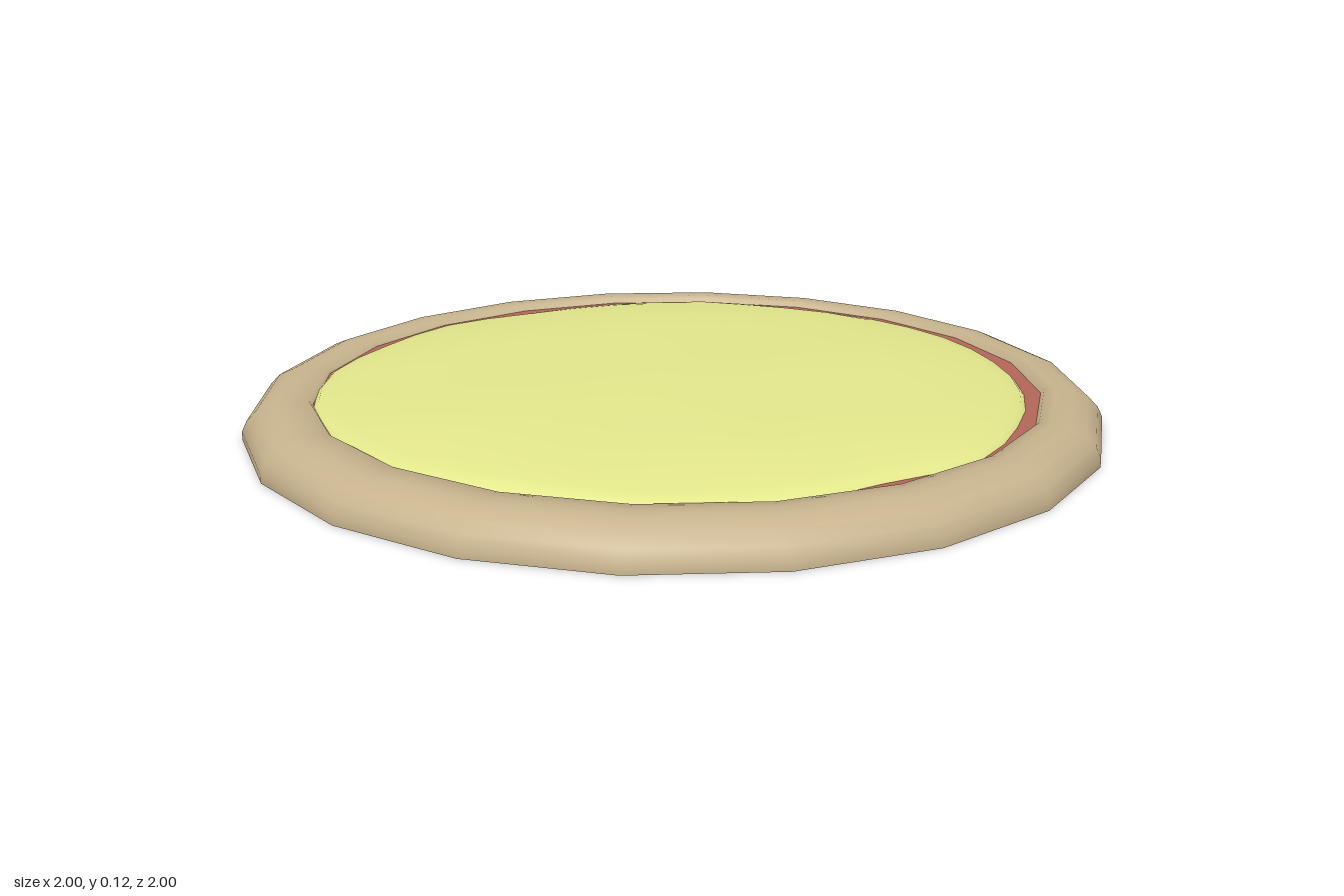
import * as THREE from 'three';
import { mergeVertices } from 'three/addons/utils/BufferGeometryUtils.js';

const SIDES = 20;
const INNER_SHIFT = -0.02; // the hollow sits slightly towards the back

// Cheese outline: radius every 18 degrees, from +x towards +z
const CHEESE_RADII = [
  0.82, 0.84, 0.81, 0.84, 0.84, 0.82, 0.84, 0.84, 0.84, 0.84,
  0.82, 0.83, 0.8, 0.82, 0.84, 0.82, 0.83, 0.83, 0.82, 0.82,
];

function lathe(profile, segments) {
  return new THREE.LatheGeometry(profile.map(([r, y]) => new THREE.Vector2(r, y)), segments);
}

// Move every vertex by a rule, then weld the seam and smooth
function reshape(geometry, rule) {
  const pos = geometry.attributes.position;
  const v = new THREE.Vector3();
  for (let i = 0; i < pos.count; i++) {
    rule(v.fromBufferAttribute(pos, i));
    pos.setXYZ(i, v.x, v.y, v.z);
  }
  geometry.deleteAttribute('uv');
  geometry.deleteAttribute('normal');
  const welded = mergeVertices(geometry, 1e-5);
  welded.computeVertexNormals();
  return welded;
}

function cheeseRadius(angle) {
  const t = ((angle / (Math.PI * 2) + 1) % 1) * SIDES;
  const i = Math.floor(t);
  return THREE.MathUtils.lerp(CHEESE_RADII[i % SIDES], CHEESE_RADII[(i + 1) % SIDES], t - i);
}

export function createModel() {
  const model = new THREE.Group();
  const add = (name, geometry, color) => {
    const mesh = new THREE.Mesh(geometry, new THREE.MeshStandardMaterial({ color }));
    mesh.name = name;
    model.add(mesh);
    return mesh;
  };
  const dough = 0xc8b48e;

  // Rounded crust rim, open underneath
  const rim = lathe([
    [1, 0], [1, 0.02], [0.988, 0.045], [0.965, 0.068], [0.93, 0.083],
    [0.89, 0.084], [0.86, 0.078], [0.845, 0.058],
  ], SIDES);
  add('crust', reshape(rim, (v) => {
    if (Math.hypot(v.x, v.z) < 0.88) v.z += INNER_SHIFT;
  }), dough);

  // Flat underside
  const base = new THREE.CircleGeometry(1, SIDES);
  base.rotateX(Math.PI / 2);
  add('base', base, dough);

  // Sauce layer
  const sauce = new THREE.CircleGeometry(0.86, SIDES);
  sauce.rotateX(-Math.PI / 2);
  add('sauce', sauce, 0xb4665a).position.set(0, 0.068, INNER_SHIFT);

  // Domed, uneven cheese with a ragged edge
  const cheese = lathe([
    [1, 0.066], [0.985, 0.079], [0.94, 0.086], [0.86, 0.095], [0.75, 0.105],
    [0.6, 0.114], [0.4, 0.119], [0.2, 0.121], [0, 0.122],
  ], SIDES * 2);
  add('cheese', reshape(cheese, (v) => {
    const r = Math.hypot(v.x, v.z);
    const scale = cheeseRadius(Math.atan2(v.z, v.x));
    const bump = Math.sin(v.x * 7 + 1) * Math.cos(v.z * 6 - 0.5) * 0.003;
    v.x *= scale;
    v.z *= scale;
    if (r < 0.95) v.y += bump;
  }), 0xe4e88c);

  return model;
}
